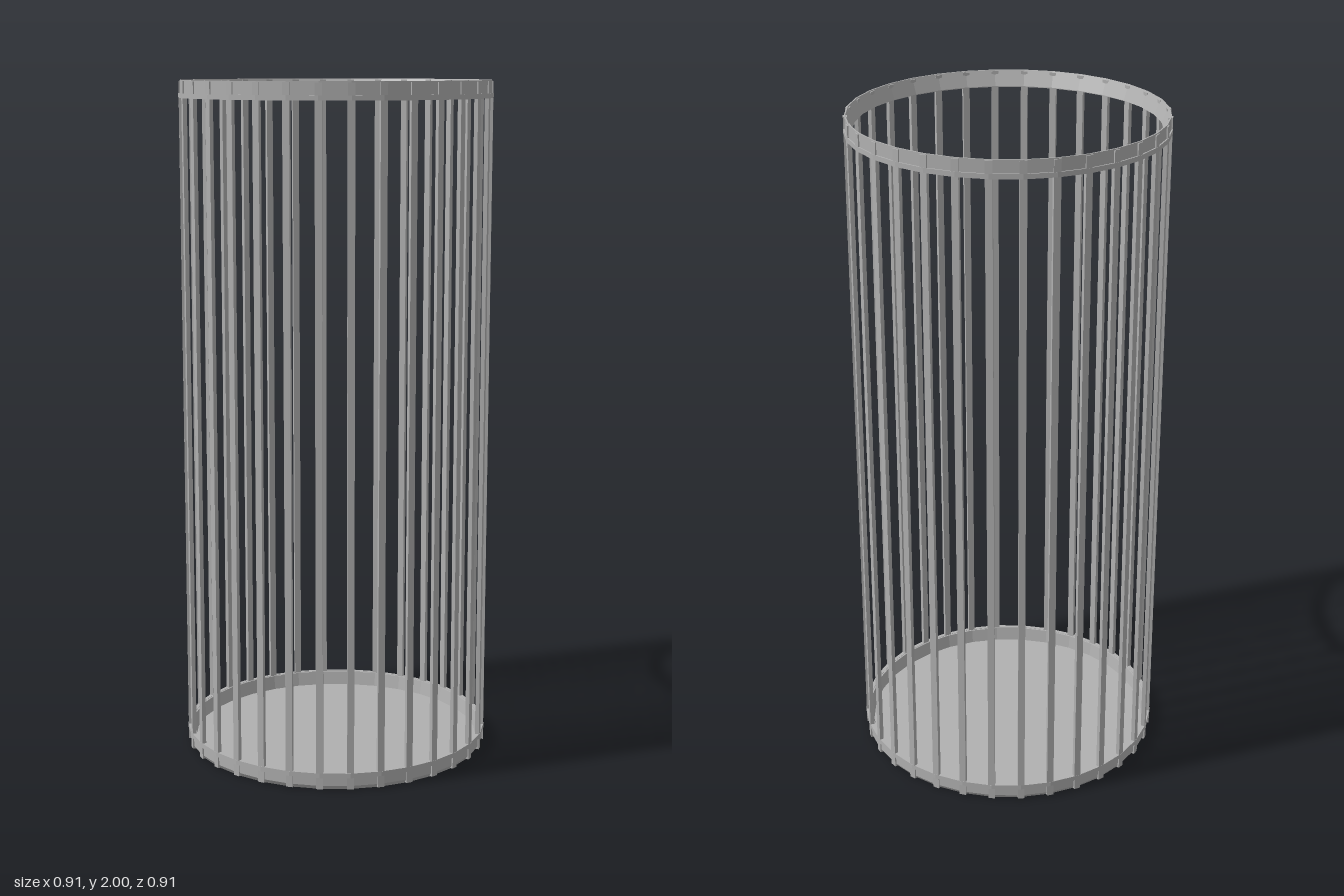
import * as THREE from 'three';

const SIDES = 32;

// Ring swept from a closed cross-section of [radius, height] points
function ring(name, section, material) {
  const points = [...section, section[0]].map(([r, y]) => new THREE.Vector2(r, y));
  const geometry = new THREE.LatheGeometry(points, SIDES).toNonIndexed();
  geometry.computeVertexNormals();
  const mesh = new THREE.Mesh(geometry, material);
  mesh.name = name;
  return mesh;
}

export function createModel() {
  const model = new THREE.Group();
  model.name = 'wireBasket';
  const steel = new THREE.MeshStandardMaterial({ color: 0xb0b0b0, side: THREE.DoubleSide });
  steel.name = 'grey steel';

  // Rims: upright outer band with a sloping inner face
  model.add(ring('topRim', [[0.432, 1.955], [0.453, 1.95], [0.453, 2], [0.449, 2]], steel));
  model.add(ring('bottomRim', [[0.445, 0], [0.453, 0.012], [0.453, 0.05], [0.44, 0.05], [0.432, 0.005]], steel));

  // Thin wire hoops along the inner edge of each rim
  for (const [name, y] of [['topHoop', 1.956], ['bottomHoop', 0.044]]) {
    const h = 0.007;
    model.add(ring(name, [[0.445, y - h], [0.457, y - h], [0.457, y + h], [0.445, y + h]], steel));
  }

  // Floor plate
  const floor = new THREE.Mesh(new THREE.CylinderGeometry(0.445, 0.445, 0.008, SIDES), steel);
  floor.name = 'floor';
  floor.position.y = 0.004;
  model.add(floor);

  // Upright bars, one at every corner of the rims
  const bars = new THREE.Group();
  bars.name = 'bars';
  const barGeometry = new THREE.BoxGeometry(0.02, 1.994, 0.012);
  for (let i = 0; i < SIDES; i++) {
    const angle = (i / SIDES) * Math.PI * 2;
    const bar = new THREE.Mesh(barGeometry, steel);
    bar.name = 'bar';
    bar.position.set(Math.sin(angle) * 0.45, 1, Math.cos(angle) * 0.45);
    bar.rotation.y = angle;
    bars.add(bar);
  }
  model.add(bars);
  return model;
}
